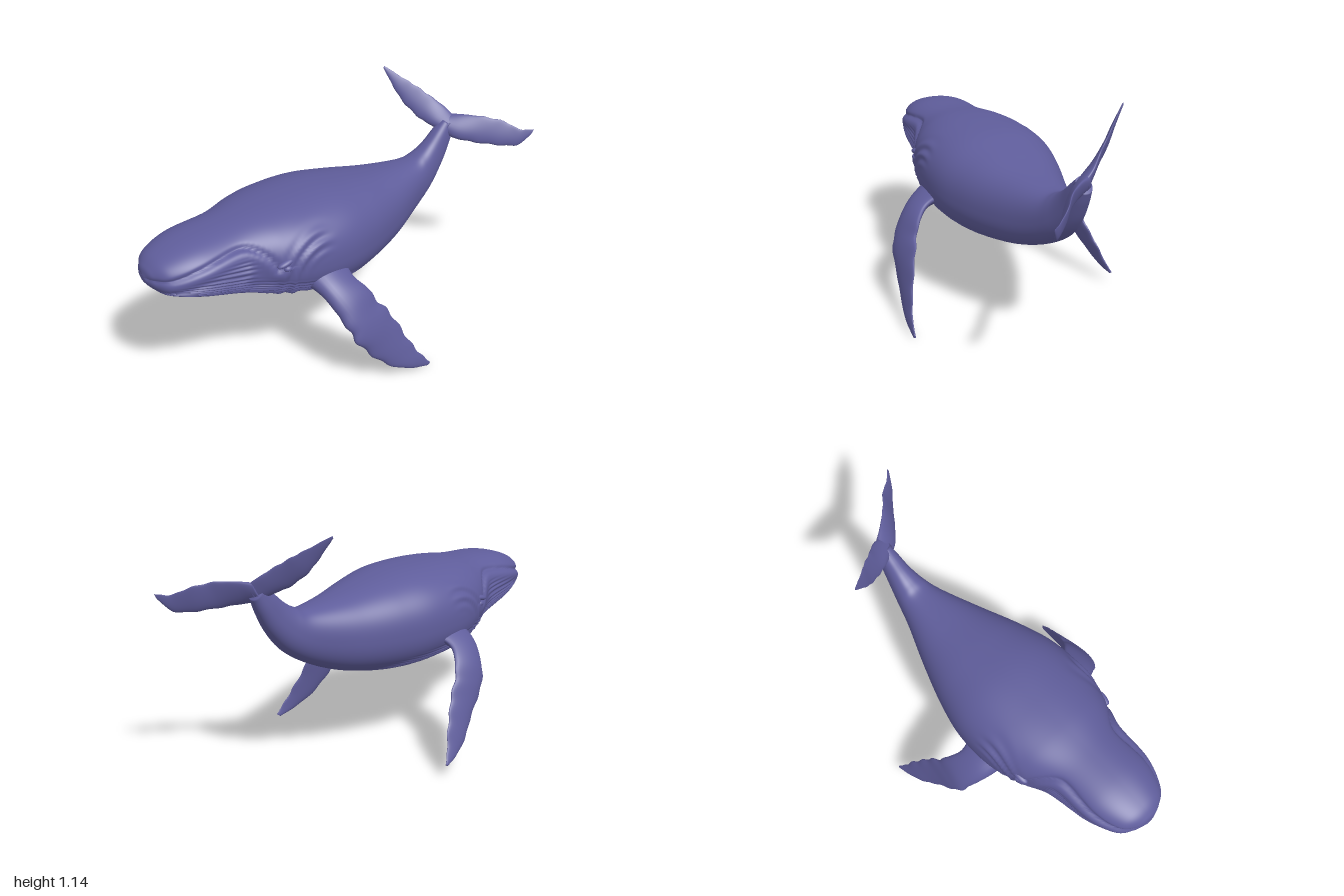
import * as THREE from 'three';

const V = (x, y, z) => new THREE.Vector3(x, y, z);
const spline = pts => new THREE.CatmullRomCurve3(pts, false, 'catmullrom', 0.5);
const smooth = THREE.MathUtils.smoothstep;

// Skin a list of closed rings (counter-clockwise about the travel direction), capped at both ends
function loft(rings) {
  const n = rings[0].length, pos = [], idx = [];
  for (const r of rings) for (const p of r) pos.push(p.x, p.y, p.z);
  for (let i = 0; i < rings.length - 1; i++) {
    for (let j = 0; j < n; j++) {
      const a = i * n + j, b = i * n + (j + 1) % n;
      idx.push(a, b, a + n, b, b + n, a + n);
    }
  }
  const cap = (k, flip) => {
    const c = rings[k].reduce((s, p) => s.add(p), V(0, 0, 0)).divideScalar(n);
    const ci = pos.length / 3;
    pos.push(c.x, c.y, c.z);
    for (let j = 0; j < n; j++) {
      const a = k * n + j, b = k * n + (j + 1) % n;
      if (flip) idx.push(ci, b, a); else idx.push(ci, a, b);
    }
  };
  cap(0, true);
  cap(rings.length - 1, false);
  const g = new THREE.BufferGeometry();
  g.setAttribute('position', new THREE.Float32BufferAttribute(pos, 3));
  g.setIndex(idx);
  g.computeVertexNormals();
  return g;
}

// Body stations, nose to tail: top z, top y, bottom z, bottom y, half width
const BODY = [
  [1.0, 0.695, 1.0, 0.668, 0.02],
  [0.985, 0.73, 0.975, 0.632, 0.075],
  [0.93, 0.77, 0.93, 0.597, 0.137],
  [0.8, 0.805, 0.8, 0.55, 0.19],
  [0.6, 0.82, 0.6, 0.488, 0.217],
  [0.45, 0.838, 0.45, 0.437, 0.278],
  [0.3, 0.845, 0.3, 0.405, 0.312],
  [0.12, 0.842, 0.12, 0.39, 0.308],
  [-0.05, 0.818, -0.05, 0.395, 0.265],
  [-0.25, 0.783, -0.25, 0.432, 0.19],
  [-0.44, 0.766, -0.42, 0.5, 0.115],
  [-0.51, 0.785, -0.555, 0.587, 0.08],
  [-0.565, 0.82, -0.645, 0.69, 0.058],
  [-0.62, 0.87, -0.7, 0.79, 0.045],
  [-0.67, 0.915, -0.728, 0.86, 0.034],
];

// Mouth line seen from the side, as points in y and z
const MOUTH = spline([[0.685, 1.01], [0.70, 0.93], [0.735, 0.8], [0.76, 0.66], [0.755, 0.59],
  [0.71, 0.53], [0.645, 0.49]].map(([y, z]) => V(0, y, z))).getPoints(90);

// Surface relief: mouth crease, throat grooves and folds around the shoulder
function relief(p, a) {
  let d = Infinity, lip = null;
  for (const m of MOUTH) {
    const e = Math.hypot(p.y - m.y, p.z - m.z);
    if (e < d) { d = e; lip = m; }
  }
  const crease = -0.011 * Math.exp(-((d / 0.011) ** 2));
  const jaw = p.y < lip.y ? 0.007 * Math.exp(-(((d - 0.03) / 0.025) ** 2)) : 0;
  const limit = p.z > 0.5 ? lip.y - 0.03 : 0.6 - 0.22 * (0.5 - p.z);
  const mask = smooth(limit - p.y, 0, 0.05) * smooth(p.z, -0.3, -0.05) * (1 - smooth(p.z, 0.93, 0.99));
  const grooves = mask * 0.009 * (Math.abs(Math.sin(a * 30 + 0.4 * Math.sin(p.z * 17))) - 0.6);
  const r = Math.hypot(p.z - 0.27, p.y - 0.56);
  const folds = Math.abs(p.x) > 0.15
    ? 0.006 * Math.sin(r * 130) * Math.exp(-(((r - 0.17) / 0.05) ** 2)) * smooth(p.z, 0.2, 0.32) : 0;
  return crease + jaw + grooves + folds;
}

function bodyGeometry() {
  const top = spline(BODY.map(s => V(0, s[1], s[0])));
  const bottom = spline(BODY.map(s => V(0, s[3], s[2])));
  const width = spline(BODY.map(s => V(s[4], 0, 0)));
  const pow = v => Math.sign(v) * Math.abs(v) ** 0.86;
  const rings = [], N = 300, M = 125;
  for (let i = 0; i <= M; i++) {
    const t = i / M, T = top.getPoint(t), B = bottom.getPoint(t), w = width.getPoint(t).x;
    const mid = B.clone().lerp(T, 0.47);
    const ring = [];
    for (let j = 0; j < N; j++) {
      const a = j / N * Math.PI * 2, v = pow(Math.cos(a));
      const p = mid.clone().lerp(v > 0 ? T : B, Math.abs(v));
      p.x = w * pow(Math.sin(a));
      const out = p.clone().sub(mid).normalize();
      ring.push(p.addScaledVector(out, relief(p, a)));
    }
    rings.push(ring);
  }
  return loft(rings);
}

// Fin from stations of leading point, trailing point and half thickness; edges gently scalloped
function finGeometry(stations, waves, amount) {
  const lead = spline(stations.map(s => V(...s[0])));
  const trail = spline(stations.map(s => V(...s[1])));
  const thick = spline(stations.map(s => V(s[2], 0, 0)));
  const rings = [], N = 28, M = 64;
  for (let i = 0; i <= M; i++) {
    const t = i / M, L = lead.getPoint(t), T = trail.getPoint(t);
    const span = lead.getTangent(t).add(trail.getTangent(t)).normalize();
    const half = T.clone().sub(L).multiplyScalar(0.5);
    const c = L.clone().add(half);
    const normal = span.clone().cross(half).normalize();
    const h = thick.getPoint(t).x;
    const ring = [];
    for (let j = 0; j < N; j++) {
      const a = j / N * Math.PI * 2, k = Math.cos(a);
      const scallop = 1 + amount * Math.sin(t * waves + (k > 0 ? 1.5 : 0)) * Math.abs(k) * smooth(t, 0.2, 0.4);
      ring.push(c.clone().addScaledVector(half, k * scallop)
        .addScaledVector(normal, h * Math.sin(a) * (1 - 0.35 * k)));
    }
    rings.push(ring);
  }
  return loft(rings);
}

const LEFT_FLIPPER = [
  [[0.22, 0.53, 0.36], [0.22, 0.58, 0.13], 0.06],
  [[0.33, 0.485, 0.325], [0.33, 0.525, 0.155], 0.04],
  [[0.40, 0.42, 0.30], [0.39, 0.475, 0.12], 0.034],
  [[0.455, 0.34, 0.27], [0.425, 0.405, 0.085], 0.028],
  [[0.48, 0.27, 0.24], [0.455, 0.335, 0.035], 0.024],
  [[0.49, 0.18, 0.17], [0.485, 0.24, -0.01], 0.02],
  [[0.505, 0.10, 0.09], [0.512, 0.15, -0.055], 0.016],
  [[0.525, 0.04, -0.01], [0.53, 0.08, -0.10], 0.012],
  [[0.535, 0.004, -0.13], [0.54, 0.018, -0.15], 0.005],
];
const RIGHT_FLIPPER = [
  [[-0.22, 0.53, 0.36], [-0.22, 0.57, 0.13], 0.06],
  [[-0.33, 0.485, 0.33], [-0.33, 0.525, 0.16], 0.04],
  [[-0.405, 0.41, 0.29], [-0.39, 0.47, 0.13], 0.034],
  [[-0.44, 0.34, 0.26], [-0.425, 0.40, 0.09], 0.027],
  [[-0.46, 0.27, 0.20], [-0.445, 0.33, 0.04], 0.023],
  [[-0.48, 0.20, 0.13], [-0.47, 0.26, 0.0], 0.02],
  [[-0.505, 0.14, 0.07], [-0.495, 0.19, -0.04], 0.016],
  [[-0.525, 0.09, -0.01], [-0.52, 0.12, -0.07], 0.012],
  [[-0.54, 0.065, -0.09], [-0.54, 0.075, -0.10], 0.005],
];
const RIGHT_FLUKE = [
  [[0.015, 0.85, -0.675], [0.015, 0.92, -0.735], 0.03],
  [[-0.04, 0.88, -0.635], [-0.035, 0.96, -0.715], 0.022],
  [[-0.10, 0.91, -0.605], [-0.095, 1.01, -0.668], 0.014],
  [[-0.17, 0.97, -0.57], [-0.15, 1.05, -0.63], 0.011],
  [[-0.22, 1.04, -0.545], [-0.20, 1.085, -0.59], 0.008],
  [[-0.28, 1.13, -0.525], [-0.28, 1.14, -0.53], 0.003],
];
const LEFT_FLUKE = [
  [[-0.01, 0.86, -0.66], [-0.01, 0.93, -0.725], 0.03],
  [[0.06, 0.83, -0.70], [0.055, 0.935, -0.77], 0.022],
  [[0.13, 0.812, -0.775], [0.13, 0.93, -0.835], 0.014],
  [[0.20, 0.797, -0.865], [0.19, 0.908, -0.905], 0.011],
  [[0.26, 0.80, -0.935], [0.25, 0.877, -0.95], 0.008],
  [[0.295, 0.855, -0.985], [0.30, 0.88, -0.997], 0.003],
];

export function createModel() {
  const whale = new THREE.Group();
  whale.name = 'whale';
  const skin = new THREE.MeshStandardMaterial({ color: 0x5f5d9b });
  skin.name = 'blueSkin';
  const add = (name, geometry) => {
    const mesh = new THREE.Mesh(geometry, skin);
    mesh.name = name;
    whale.add(mesh);
    return mesh;
  };

  add('body', bodyGeometry());
  add('leftFlipper', finGeometry(LEFT_FLIPPER, 42, 0.06));
  add('rightFlipper', finGeometry(RIGHT_FLIPPER, 42, 0.06));
  add('leftFluke', finGeometry(LEFT_FLUKE, 34, 0.04));
  add('rightFluke', finGeometry(RIGHT_FLUKE, 34, 0.04));

  // Eyes under a low brow
  for (const [side, s] of [['left', 1], ['right', -1]]) {
    const eye = add(side + 'Eye', new THREE.SphereGeometry(1, 20, 14));
    eye.scale.set(0.018, 0.016, 0.022);
    eye.position.set(s * 0.268, 0.645, 0.455);
    const brow = add(side + 'Brow', new THREE.SphereGeometry(1, 20, 14));
    brow.scale.set(0.02, 0.014, 0.045);
    brow.position.set(s * 0.262, 0.672, 0.46);
    brow.rotation.x = 0.25;
  }
  return whale;
}
